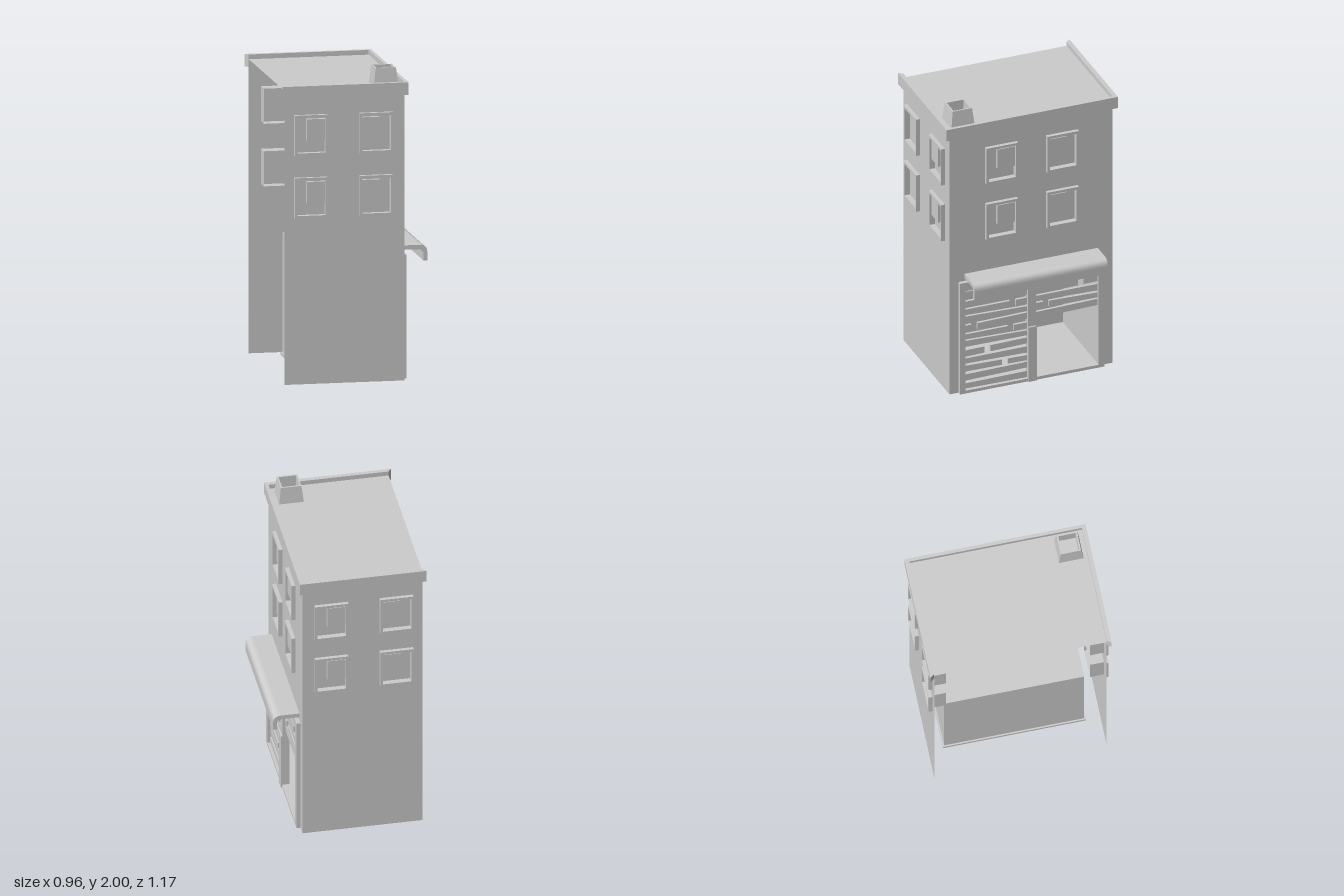
import * as THREE from 'three';

const grey = new THREE.MeshStandardMaterial({ color: 0xcccccc, flatShading: true });
const thin = new THREE.MeshStandardMaterial({ color: 0xcccccc, flatShading: true, side: THREE.DoubleSide });

function add(parent, name, geometry, material = grey) {
  const mesh = new THREE.Mesh(geometry, material);
  mesh.name = name;
  parent.add(mesh);
  return mesh;
}

// Box given by its limits on each axis
function box(parent, name, [x0, x1], [y0, y1], [z0, z1]) {
  const mesh = add(parent, name, new THREE.BoxGeometry(x1 - x0, y1 - y0, z1 - z0));
  mesh.position.set((x0 + x1) / 2, (y0 + y1) / 2, (z0 + z1) / 2);
  return mesh;
}

const polygon = (pts) => new THREE.Shape(pts.map(([x, y]) => new THREE.Vector2(x, y)));
const rect = (x0, x1, y0, y1) => polygon([[x0, y0], [x1, y0], [x1, y1], [x0, y1]]);
const extrude = (shape, depth) =>
  new THREE.ExtrudeGeometry(shape, { depth, bevelEnabled: false, curveSegments: 8 });

// Window: raised frame, pane with a small offset panel, and a reveal running indoors
const OPEN_W = 0.182, OPEN_H = 0.225, REVEAL = 0.09;
function addWindow(parent, u, v, side) {
  const g = new THREE.Group();
  g.name = 'window';
  g.position.set(u, v, 0);
  parent.add(g);
  const ring = rect(-0.107, 0.107, -0.13, 0.13);
  ring.holes.push(rect(-OPEN_W / 2, OPEN_W / 2, -OPEN_H / 2, OPEN_H / 2));
  add(g, 'windowFrame', extrude(ring, 0.025));
  add(g, 'windowPane', new THREE.PlaneGeometry(OPEN_W, OPEN_H), thin).position.z = -0.012;
  const panel = add(g, 'windowPanel', new THREE.BoxGeometry(0.116, 0.14, 0.025));
  panel.position.set(side * 0.031, 0.032, 0.0006);
  for (const s of [-1, 1]) {
    const jamb = add(g, 'windowJamb', new THREE.PlaneGeometry(REVEAL, OPEN_H), thin);
    jamb.rotation.y = Math.PI / 2;
    jamb.position.set(s * OPEN_W / 2, 0, -REVEAL / 2);
    const ledge = add(g, 'windowLedge', new THREE.PlaneGeometry(OPEN_W, REVEAL), thin);
    ledge.rotation.x = -Math.PI / 2;
    ledge.position.set(0, s * OPEN_H / 2, -REVEAL / 2);
  }
}

// Wall in its own plane, facing local +z, with two rows of two windows
const ROWS = [1.196, 1.597];
function addWall(parent, name, u0, u1, columns, door) {
  const g = new THREE.Group();
  g.name = name;
  parent.add(g);
  const shape = rect(u0, u1, 0, 1.84);
  for (const v of ROWS) {
    columns.forEach((u, i) => {
      shape.holes.push(rect(u - OPEN_W / 2, u + OPEN_W / 2, v - OPEN_H / 2, v + OPEN_H / 2));
      addWindow(g, u, v, i ? -1 : 1);
    });
  }
  if (door) shape.holes.push(door);
  add(g, name + 'Panel', new THREE.ShapeGeometry(shape), thin);
  return g;
}

// Uneven planks nailed across one bay; some rows are split by a gap
function addBoards(parent, u0, u1, rows, gaps) {
  const pitch = 0.0585;
  for (let i = 0; i < rows; i++) {
    const base = 0.72 - (i + 1) * pitch;
    const wob = (k) => 0.013 * Math.abs(Math.sin(i * 7.3 + k * 2.1));
    const l0 = base + wob(1), r0 = base + wob(2);
    const l1 = base + pitch - wob(3) - 0.001, r1 = base + pitch - wob(4) - 0.001;
    const at = (a, b, u) => a + (b - a) * (u - u0) / (u1 - u0);
    const gap = gaps[i];
    const spans = gap === undefined ? [[u0, u1]] : [[u0, gap - 0.02], [gap + 0.02, u1]];
    for (const [a, b] of spans) {
      const plank = polygon([[a, at(l0, r0, a)], [b, at(l0, r0, b)], [b, at(l1, r1, b)], [a, at(l1, r1, a)]]);
      add(parent, 'board', extrude(plank, 0.018)).position.z = -0.012 + 0.004 * (i % 2);
    }
  }
}

export function createModel() {
  const model = new THREE.Group();
  model.name = 'building';

  // Three walls; the -x side is open
  const front = addWall(model, 'frontWall', -0.46, 0.311, [-0.291, 0.128]);
  front.position.z = 0.554;
  const back = addWall(model, 'backWall', -0.311, 0.46, [-0.128, 0.291]);
  back.rotation.y = Math.PI;
  back.position.z = -0.554;
  const shop = addWall(model, 'shopWall', -0.554, 0.554, [-0.204, 0.21], rect(-0.453, 0.45, 0.02, 0.77));
  shop.rotation.y = Math.PI / 2;
  shop.position.x = 0.311;

  // Shopfront frame, in the plane of the shop wall
  box(shop, 'framePost', [-0.493, -0.455], [0, 0.795], [0, 0.027]);
  box(shop, 'framePost', [0.45, 0.49], [0, 0.795], [0, 0.027]);
  box(shop, 'frameLintel', [-0.455, 0.45], [0.735, 0.795], [0, 0.027]);
  box(shop, 'frameSill', [-0.455, 0.45], [0, 0.02], [-0.02, 0.027]);
  box(shop, 'centrePost', [-0.03, 0.026], [0.39, 0.75], [-0.02, 0.024]);
  box(shop, 'centrePostBase', [-0.03, 0.026], [0.0, 0.39], [-0.02, 0.036]);

  // Boarded bays; the second is open below
  addBoards(shop, -0.455, -0.03, 12, { 2: -0.125, 4: -0.385, 5: -0.14, 7: -0.3, 9: -0.18 });
  addBoards(shop, 0.026, 0.45, 5, { 0: 0.105, 1: 0.335, 3: 0.1 });

  // Shop room, open towards the shopfront, on its floor slab
  const room = rect(-0.265, 0.311, -0.45, 0.45);
  for (const y of [0.021, 0.785]) {
    const plane = add(model, y < 0.1 ? 'roomFloor' : 'roomCeiling', new THREE.ShapeGeometry(room), thin);
    plane.rotation.x = -Math.PI / 2;
    plane.position.y = y;
  }
  for (const z of [-0.45, 0.45]) {
    const side = add(model, 'roomSideWall', new THREE.PlaneGeometry(0.576, 0.765), thin);
    side.position.set(0.023, 0.403, z);
  }
  const rear = add(model, 'roomRearWall', new THREE.PlaneGeometry(0.9, 0.765), thin);
  rear.rotation.y = -Math.PI / 2;
  rear.position.set(-0.265, 0.403, 0);
  box(model, 'floorSlab', [-0.275, 0.311], [0, 0.02], [-0.46, 0.46]);

  // Awning with a rounded, drooping lip
  const awning = new THREE.Shape();
  awning.moveTo(0.311, 0.818);
  awning.lineTo(0.433, 0.818);
  awning.quadraticCurveTo(0.455, 0.816, 0.455, 0.793);
  awning.lineTo(0.455, 0.745);
  awning.lineTo(0.48, 0.745);
  awning.lineTo(0.48, 0.798);
  awning.quadraticCurveTo(0.48, 0.844, 0.433, 0.846);
  awning.lineTo(0.311, 0.846);
  add(model, 'awning', extrude(awning, 0.907)).position.z = -0.454;

  // Cornice around three sides, mitred at the open side
  const cornice = polygon([
    [-0.48, -0.583], [0.333, -0.583], [0.333, 0.583], [-0.48, 0.583],
    [-0.46, 0.555], [0.311, 0.555], [0.311, -0.555], [-0.46, -0.555],
  ]);
  const rim = add(model, 'cornice', extrude(cornice, 0.08));
  rim.rotation.x = -Math.PI / 2;
  rim.position.y = 1.835;

  // Flat roof just below the cornice top
  const roof = add(model, 'roof', new THREE.PlaneGeometry(0.771, 1.11), thin);
  roof.rotation.x = -Math.PI / 2;
  roof.position.set(-0.0745, 1.885, 0);

  // Hollow tapered chimney
  const r = Math.SQRT1_2;
  const profile = [[0.158, 0], [0.132, 0.115], [0.112, 0.115], [0.11, 0.03], [0, 0.03]]
    .map(([w, y]) => new THREE.Vector2(w * r, y));
  const flue = new THREE.LatheGeometry(profile, 4, Math.PI / 4).toNonIndexed();
  flue.computeVertexNormals();
  add(model, 'chimney', flue, thin).position.set(0.2, 1.885, 0.448);

  return model;
}
